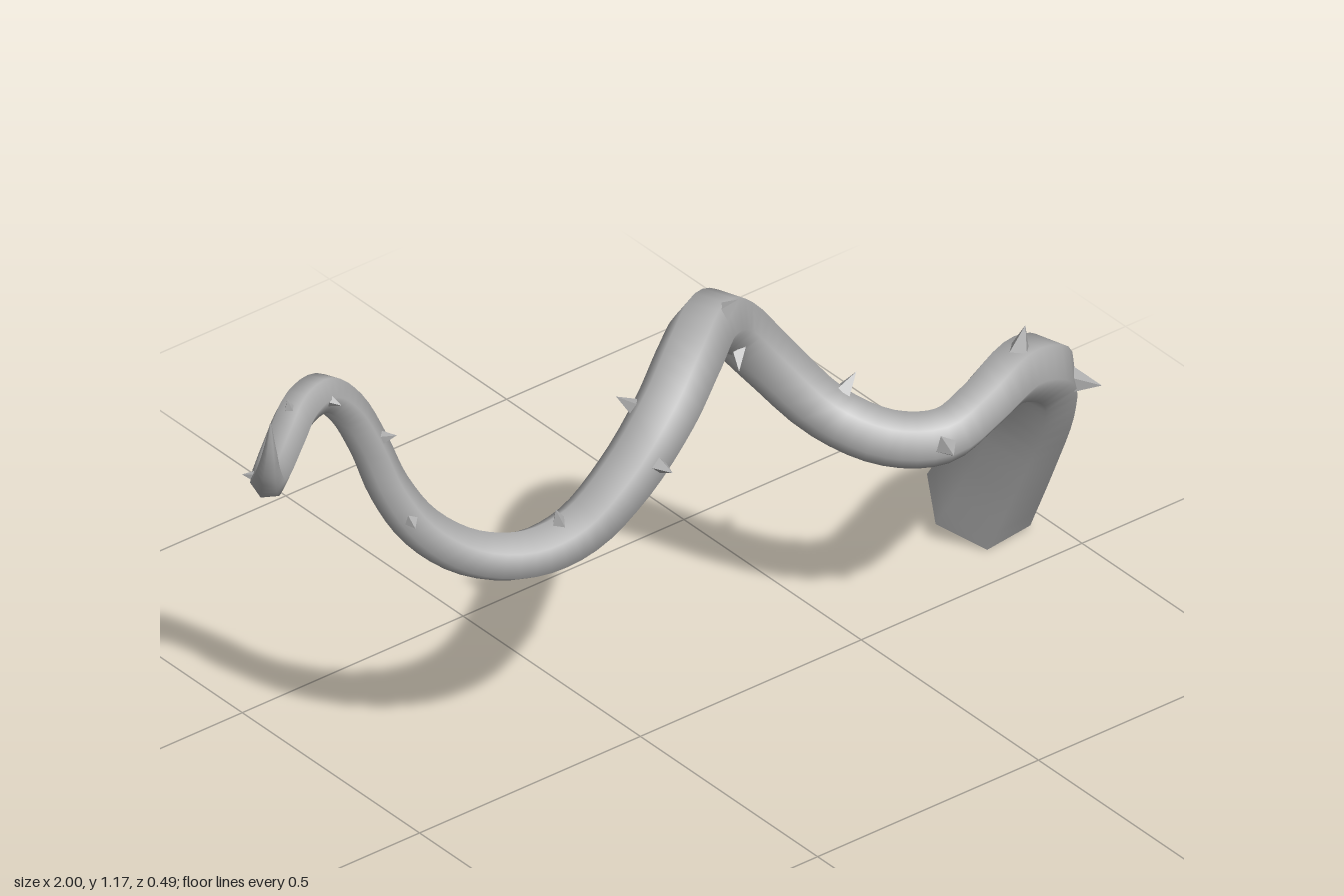
import * as THREE from 'three';

// Centre line from base to tip: x, y, z, radius
const PATH = [
  [0.9, 0.042, -0.167, 0.102], [0.893, 0.2, -0.075, 0.09], [0.875, 0.36, 0.02, 0.078],
  [0.83, 0.475, 0.092, 0.066], [0.74, 0.525, 0.13, 0.057], [0.64, 0.51, 0.16, 0.053],
  [0.55, 0.488, 0.167, 0.052], [0.47, 0.49, 0.115, 0.052], [0.4, 0.53, 0.03, 0.053],
  [0.32, 0.64, -0.045, 0.056], [0.25, 0.73, -0.06, 0.058], [0.17, 0.78, -0.025, 0.06],
  [0.09, 0.765, 0.025, 0.062], [0, 0.71, 0.068, 0.061], [-0.1, 0.62, 0.08, 0.058],
  [-0.2, 0.548, 0.073, 0.053], [-0.3, 0.528, 0.055, 0.049], [-0.4, 0.553, 0.018, 0.045],
  [-0.48, 0.62, -0.02, 0.041], [-0.53, 0.71, -0.048, 0.038], [-0.565, 0.81, -0.063, 0.036],
  [-0.61, 0.9, -0.07, 0.036], [-0.67, 0.957, -0.065, 0.037], [-0.74, 0.965, -0.04, 0.038],
  [-0.81, 0.948, 0.005, 0.038], [-0.88, 0.945, 0.06, 0.037], [-0.935, 0.97, 0.115, 0.032],
  [-0.968, 1.02, 0.155, 0.024], [-0.986, 1.08, 0.182, 0.014], [-0.997, 1.16, 0.199, 0.001],
];

// Thorns: nearby centre point x, y, z, then outward direction
const THORNS = [
  [0.85, 0.45, 0.075, 0.55, 0.05, 0.8], [0.74, 0.525, 0.13, 0, 1, 0.15],
  [0.54, 0.488, 0.165, -0.2, 0.2, 1], [0.4, 0.53, 0.03, 0.6, 0.8, 0.1],
  [0.28, 0.69, -0.055, 0.1, 0, -1], [0.26, 0.715, -0.06, -0.5, -0.5, 0.8],
  [0.165, 0.78, -0.02, 0, 0.7, 0.7], [-0.06, 0.655, 0.078, 0, 0, 1],
  [-0.01, 0.7, 0.07, -0.2, 0.6, -0.8], [-0.23, 0.54, 0.07, -0.1, 1, 0.1],
  [-0.4, 0.553, 0.018, -0.1, 0, -1], [-0.505, 0.655, -0.035, -0.4, 0, 1],
  [-0.57, 0.82, -0.064, 0.5, 0.3, 0.7], [-0.69, 0.96, -0.06, 0.1, 0, 1],
  [-0.77, 0.96, -0.02, 0, 1, -0.1], [-0.91, 0.955, 0.09, -0.3, -0.1, -1],
];

const SIDES = 6, STEPS = 116;
const spine = new THREE.CatmullRomCurve3(PATH.map(p => new THREE.Vector3(p[0], p[1], p[2])));

function radiusAt(t) {
  const f = t * (PATH.length - 1), i = Math.min(Math.floor(f), PATH.length - 2);
  return THREE.MathUtils.lerp(PATH[i][3], PATH[i + 1][3], f - i);
}

// Tapered hexagonal tube carried along the spine without twisting
function vineGeometry() {
  const pos = [], index = [];
  const normal = new THREE.Vector3(1, 0, 0);
  for (let i = 0; i <= STEPS; i++) {
    const t = i / STEPS, c = spine.getPoint(t), tan = spine.getTangent(t);
    normal.addScaledVector(tan, -normal.dot(tan)).normalize();
    const binormal = new THREE.Vector3().crossVectors(tan, normal);
    for (let j = 0; j < SIDES; j++) {
      const a = (j / SIDES) * Math.PI * 2 + 0.08, r = radiusAt(t);
      const v = c.clone().addScaledVector(normal, r * Math.cos(a)).addScaledVector(binormal, r * Math.sin(a));
      pos.push(v.x, v.y, v.z);
    }
  }
  for (let i = 0; i < STEPS; i++) {
    for (let j = 0; j < SIDES; j++) {
      const a = i * SIDES + j, b = i * SIDES + (j + 1) % SIDES;
      index.push(a, b, a + SIDES, b, b + SIDES, a + SIDES);
    }
  }
  const g = new THREE.BufferGeometry();
  g.setAttribute('position', new THREE.Float32BufferAttribute(pos, 3));
  g.setIndex(index);
  g.computeVertexNormals();
  return g;
}

// Flat cap over the first ring
function capGeometry(vine) {
  const g = new THREE.BufferGeometry();
  g.setAttribute('position', new THREE.Float32BufferAttribute(vine.attributes.position.array.slice(0, SIDES * 3), 3));
  const index = [];
  for (let j = 1; j < SIDES - 1; j++) index.push(0, j + 1, j);
  g.setIndex(index);
  g.computeVertexNormals();
  return g;
}

function nearestT(point) {
  let best = 0, bestDistance = Infinity;
  for (let i = 0; i <= 400; i++) {
    const d = spine.getPoint(i / 400).distanceTo(point);
    if (d < bestDistance) { bestDistance = d; best = i / 400; }
  }
  return best;
}

export function createModel() {
  const group = new THREE.Group();
  group.name = 'thornyVine';
  const grey = new THREE.MeshStandardMaterial({ color: 0xb0b0b0 });
  grey.name = 'vineGrey';

  const vine = new THREE.Mesh(vineGeometry(), grey);
  vine.name = 'vine';
  const cap = new THREE.Mesh(capGeometry(vine.geometry), grey);
  cap.name = 'baseCap';
  group.add(vine, cap);

  // Small four-sided spikes, shrinking toward the tip
  const spike = new THREE.ConeGeometry(0.026, 0.06, 4).toNonIndexed();
  spike.computeVertexNormals();
  spike.translate(0, 0.02, 0);
  const up = new THREE.Vector3(0, 1, 0);
  for (const [x, y, z, dx, dy, dz] of THORNS) {
    const t = nearestT(new THREE.Vector3(x, y, z)), tan = spine.getTangent(t);
    const dir = new THREE.Vector3(dx, dy, dz);
    dir.addScaledVector(tan, -dir.dot(tan)).normalize();
    const thorn = new THREE.Mesh(spike, grey);
    thorn.name = 'thorn';
    thorn.position.copy(spine.getPoint(t)).addScaledVector(dir, radiusAt(t) * 0.88);
    thorn.quaternion.setFromUnitVectors(up, dir);
    thorn.scale.setScalar(THREE.MathUtils.lerp(1.05, 0.3, t));
    group.add(thorn);
  }
  return group;
}
